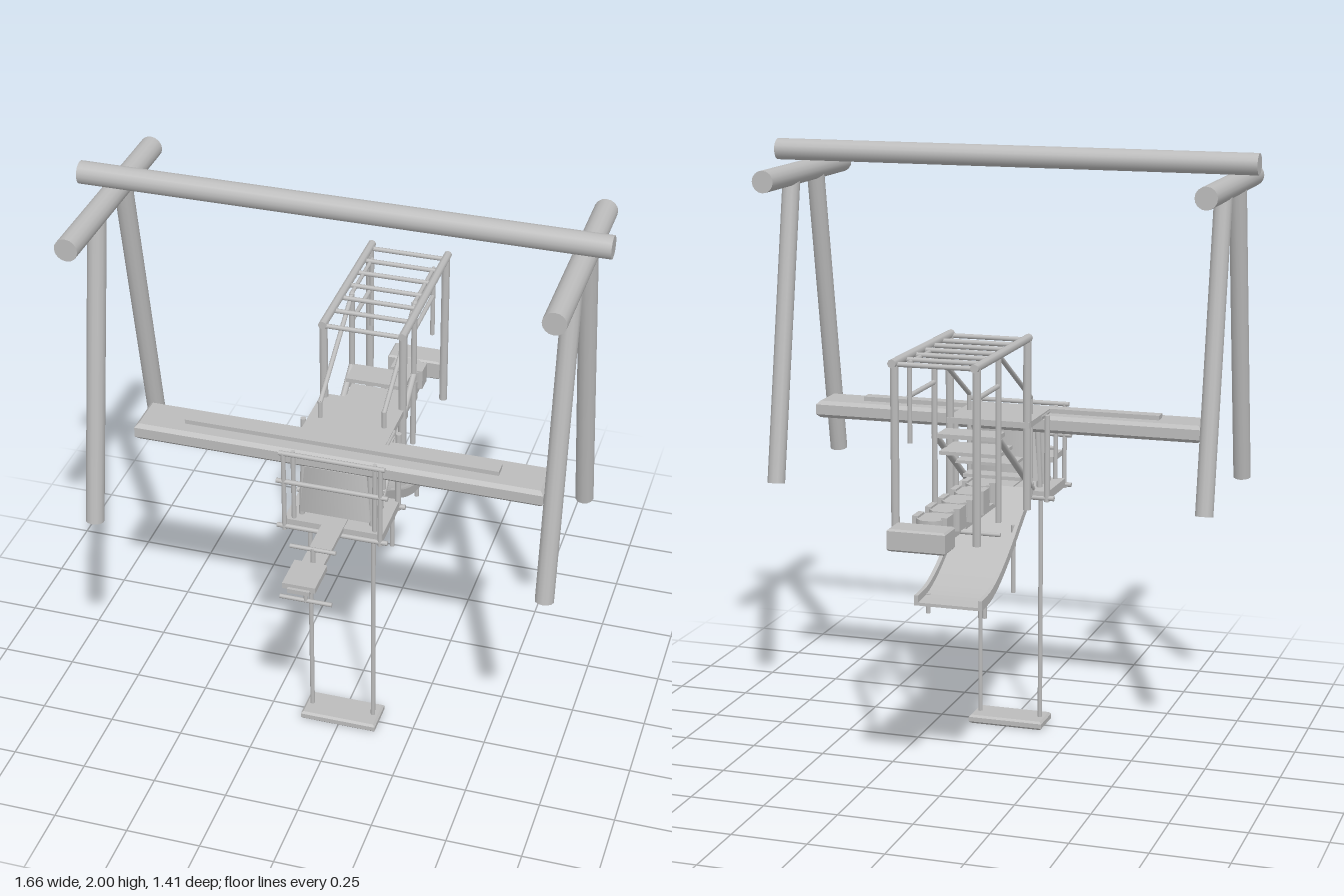
import * as THREE from 'three';

export function createModel() {
  const root = new THREE.Group();
  root.name = 'playground';
  const grey = new THREE.MeshStandardMaterial({ color: 0xbcbcbc });
  grey.name = 'grey';
  const V = (x, y, z) => new THREE.Vector3(x, y, z);

  const add = (name, geo) => {
    const m = new THREE.Mesh(geo, grey);
    m.name = name;
    root.add(m);
    return m;
  };
  // box given by its minimum and maximum corners
  const box = (name, x0, x1, y0, y1, z0, z1) => {
    const m = add(name, new THREE.BoxGeometry(x1 - x0, y1 - y0, z1 - z0));
    m.position.set((x0 + x1) / 2, (y0 + y1) / 2, (z0 + z1) / 2);
    return m;
  };
  // round bar between two points
  const bar = (name, a, b, r, n = 8) => {
    const d = b.clone().sub(a);
    const m = add(name, new THREE.CylinderGeometry(r, r, d.length(), n));
    m.position.copy(a).add(b).multiplyScalar(0.5);
    m.quaternion.setFromUnitVectors(V(0, 1, 0), d.normalize());
    return m;
  };
  // board with chamfered edges, lying flat
  const board = (name, w, h, d, x, y, z, c = 0.012) => {
    const s = new THREE.Shape();
    const a = w / 2 - c, b = d / 2 - c;
    s.moveTo(-a, -b).lineTo(a, -b).lineTo(a, b).lineTo(-a, b).closePath();
    const g = new THREE.ExtrudeGeometry(s, {
      depth: h - 2 * c, bevelSize: c, bevelThickness: c, bevelSegments: 1,
    });
    g.rotateX(-Math.PI / 2);
    g.translate(0, c - h / 2, 0);
    add(name, g).position.set(x, y, z);
  };

  // swing frame of logs
  bar('topBeam', V(-0.83, 1.965, 0.25), V(0.83, 1.965, 0.25), 0.036, 16);
  for (const s of [-1, 1]) {
    const x = s * 0.738;
    bar('crossBeam', V(x, 1.892, -0.105), V(x, 1.892, 0.602), 0.037, 16);
    bar('frontLeg', V(x, 1.88, 0.357), V(x, 0.87, 0.538), 0.03, 12);
    bar('backLeg', V(x, 1.88, 0.142), V(x, 0.87, -0.04), 0.03, 12);
  }

  // long plank and its top strip
  board('plank', 1.35, 0.058, 0.152, 0, 1.086, 0.247);
  box('plankStrip', -0.52, 0.52, 1.112, 1.13, 0.225, 0.27);

  // swing seat
  board('swingSeat', 0.262, 0.03, 0.122, 0, 0.02, 0.25, 0.007);
  for (const s of [-1, 1])
    bar('swingPole', V(s * 0.108, 0.03, 0.25), V(s * 0.108, 0.85, 0.25), 0.008);

  // cabin with floor, roof and tapered core
  box('floor', -0.165, 0.165, 0.835, 0.865, 0.14, 0.345);
  const core = new THREE.CylinderGeometry(0.07, 0.08, 0.17, 4, 1);
  core.rotateY(Math.PI / 4);
  core.scale(2.05, 1, 1.35);
  add('cabinCore', core).position.set(0, 0.975, 0.25);
  for (const s of [-1, 1])
    for (const z of [0.2, 0.25, 0.3])
      bar('cabinSlat', V(s * 0.118, 0.865, z), V(s * 0.11, 1.06, z), 0.01);
  box('roof', -0.145, 0.14, 1.11, 1.13, -0.01, 0.26);

  // front and rear railings
  for (const s of [-1, 1]) {
    bar('railPost', V(s * 0.16, 0.83, 0.353), V(s * 0.16, 1.125, 0.353), 0.008);
    bar('rearPost', V(s * 0.16, 0.83, 0.145), V(s * 0.16, 1.125, 0.145), 0.01);
    bar('innerPost', V(s * 0.135, 0.84, 0.33), V(s * 0.135, 1.12, 0.33), 0.008);
    bar('sideRail', V(s * 0.14, 1.12, 0.26), V(s * 0.14, 1.12, 0.13), 0.007);
  }
  for (const [y, w] of [[0.842, 0.185], [1.015, 0.185], [1.122, 0.175]])
    bar('frontRail', V(-w, y, 0.353), V(w, y, 0.353), 0.008);
  bar('rearRail', V(-0.185, 0.842, 0.145), V(0.185, 0.842, 0.145), 0.009);

  // front arm with seat, handle and foot bar
  box('arm', -0.036, 0.036, 0.855, 0.87, 0.15, 0.705);
  box('armSeat', -0.055, 0.052, 0.862, 0.882, 0.57, 0.695);
  bar('handleStem', V(0, 0.865, 0.552), V(0, 0.925, 0.552), 0.008);
  bar('handle', V(-0.075, 0.92, 0.552), V(0.075, 0.92, 0.552), 0.007);
  // hanging foot bars, front and rear
  for (const z of [0.63, -0.13]) {
    bar('footStem', V(0, 0.775, z), V(0, 0.86, z), 0.007);
    bar('footBar', V(-0.085, 0.778, z), V(0.085, 0.778, z), 0.007);
  }
  box('rearSeat', -0.052, 0.052, 0.858, 0.875, -0.2, -0.04);

  // slide: a bed and two raised sides swept along the same curve
  const path = new THREE.CatmullRomCurve3([
    V(0.15, 0.87, 0), V(0, 0.775, 0), V(-0.12, 0.7, 0), V(-0.23, 0.645, 0),
    V(-0.32, 0.617, 0), V(-0.41, 0.61, 0),
  ]).getPoints(16);
  const slidePart = (name, x0, x1, lift) => {
    const s = new THREE.Shape();
    path.forEach((p, i) => (i ? s.lineTo(-p.x, p.y - 0.008) : s.moveTo(-p.x, p.y - 0.008)));
    [...path].reverse().forEach((p) => s.lineTo(-p.x, p.y + lift));
    const g = new THREE.ExtrudeGeometry(s, { depth: x1 - x0, bevelEnabled: false });
    g.rotateY(Math.PI / 2);
    g.translate(x0, 0, 0);
    add(name, g);
  };
  slidePart('slideBed', -0.1, 0.1, 0.002);
  slidePart('slideSide', -0.113, -0.1, 0.025);
  slidePart('slideSide', 0.1, 0.113, 0.025);
  for (const s of [-1, 1]) {
    bar('slideLeg', V(s * 0.095, 0.555, -0.02), V(s * 0.095, 0.785, -0.02), 0.008);
    bar('slideFoot', V(s * 0.095, 0.555, -0.327), V(s * 0.095, 0.62, -0.327), 0.008);
  }

  // climbing ladder overhead
  for (const s of [-1, 1]) {
    const x = s * 0.133;
    bar('overheadRail', V(x, 1.405, 0.02), V(x, 1.405, -0.545), 0.014);
    bar('overheadPost', V(x, 0.835, 0.005), V(x, 1.405, 0.005), 0.014);
    bar('overheadPost', V(x, 0.845, -0.52), V(x, 1.405, -0.52), 0.014);
    // stair handrails
    const h = s * 0.107;
    bar('handrailPost', V(h, 0.85, 0.13), V(h, 1.19, 0.13), 0.008);
    bar('handrailSlope', V(h, 1.185, 0.13), V(h, 1.395, -0.23), 0.008);
    bar('handrailTop', V(h, 1.395, -0.225), V(h, 1.395, -0.46), 0.007);
    bar('handrailMiddle', V(h, 1.29, -0.225), V(h, 1.29, -0.46), 0.008);
    bar('handrailEnd', V(h, 1.14, -0.455), V(h, 1.395, -0.455), 0.008);
    bar('middlePost', V(h, 0.845, -0.222), V(h, 1.395, -0.222), 0.01);
    bar('stairStringer', V(h, 0.87, 0.15), V(h, 1.12, -0.222), 0.011);
  }
  for (const z of [0.01, -0.09, -0.177, -0.263, -0.35, -0.435, -0.52])
    bar('rung', V(-0.13, 1.4, z), V(0.13, 1.4, z), 0.008);
  // stair treads
  box('topTread', -0.1, 0.1, 1.108, 1.122, -0.225, -0.13);
  box('tread', -0.1, 0.1, 1.048, 1.06, -0.2, -0.05);
  box('tread', -0.1, 0.1, 0.985, 0.995, -0.04, 0.07);
  box('tread', -0.1, 0.1, 0.92, 0.932, 0.04, 0.1);

  // stepping path of notched blocks with an end block
  box('pathCore', -0.035, 0.035, 0.87, 0.92, -0.62, 0.0);
  for (let i = 0; i < 5; i++) {
    const z = -0.07 - i * 0.12;
    const g = new THREE.CylinderGeometry(0.062, 0.062, 0.05, 8);
    g.rotateY(Math.PI / 8);
    g.scale(0.88, 1, 0.95);
    add('pathBlock', g).position.set(0, 0.91, z);
    box('pathBase', -0.04, 0.04, 0.848, 0.89, z - 0.035, z + 0.035);
    for (const s of [-1, 1])
      box('pathKnob', s * 0.047 - 0.01, s * 0.047 + 0.01, 0.87, 0.942, z - 0.03, z + 0.03);
  }
  board('pathEnd', 0.188, 0.07, 0.095, 0, 0.893, -0.66, 0.006);

  return root;
}
